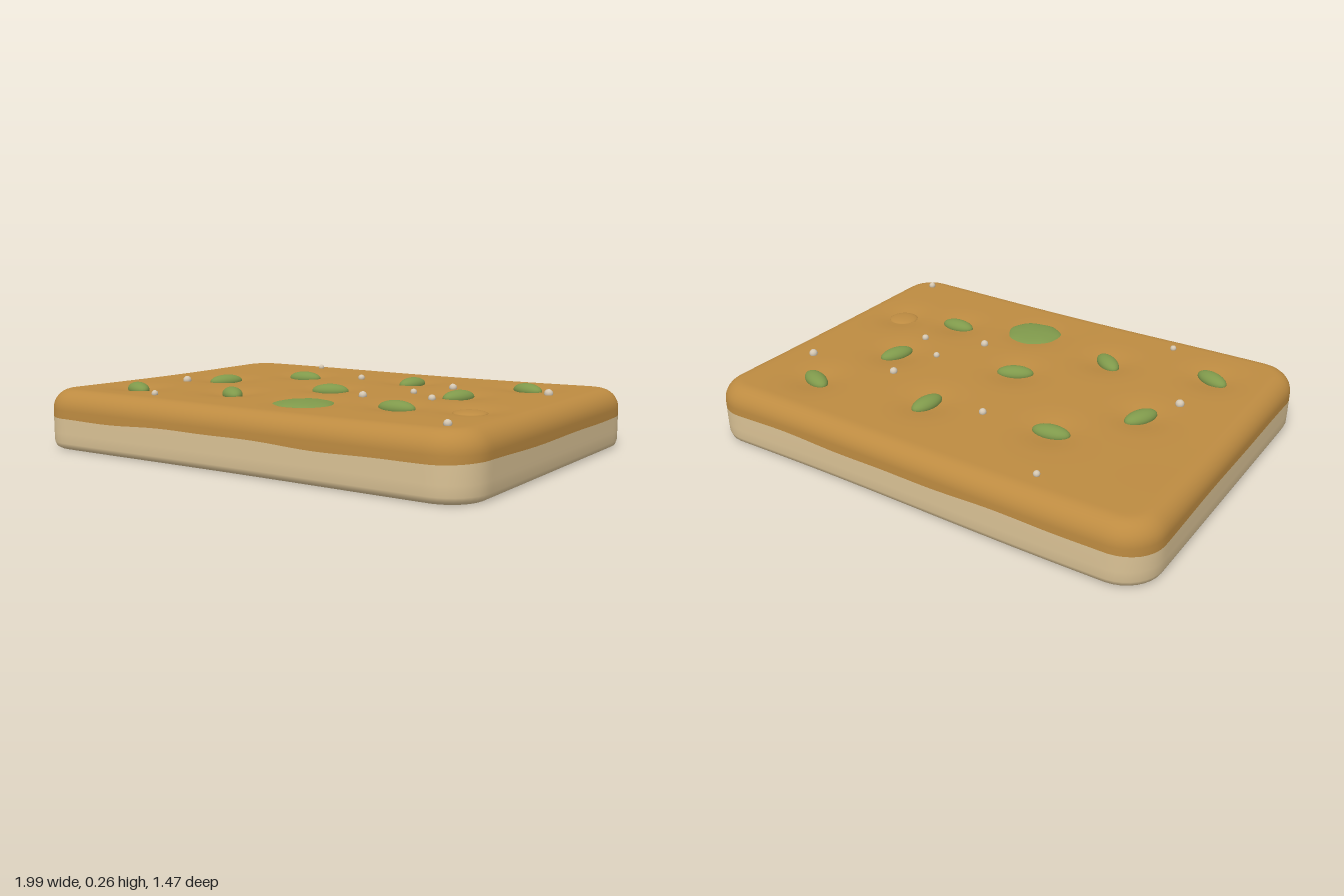
import * as THREE from 'three';

const crust = new THREE.MeshStandardMaterial({ color: 0xbd8b41, side: THREE.DoubleSide });
const dough = new THREE.MeshStandardMaterial({ color: 0xdac295, side: THREE.DoubleSide });
const olive = new THREE.MeshStandardMaterial({ color: 0x7f994b });
const salt = new THREE.MeshStandardMaterial({ color: 0xd6c9b4 });
crust.name = 'golden crust';
dough.name = 'pale dough';
olive.name = 'olive green';
salt.name = 'salt grey';

// x, z, turn in degrees
const OLIVES = [
  [-0.38, -0.3, 8], [0.15, -0.37, 82], [0.66, -0.45, -24], [-0.61, -0.01, 66], [0, 0.045, 25],
  [0.53, -0.08, 70], [-0.28, 0.34, -38], [-0.715, 0.435, -25], [0.48, 0.31, 0],
];
const GRAINS = [
  [-0.5, -0.6], [-0.09, -0.33], [0.42, -0.24], [0.82, -0.29], [0.36, -0.02],
  [0.51, 0.1], [0.25, 0.185], [-0.7, 0.15], [-0.465, 0.595], [0.855, 0.615],
];
const SLICE = [0.14, 0.42];
const BUBBLE = [0.75, 0.25];
const DIMPLES = [...OLIVES, SLICE, BUBBLE];

// Height change of the top: gentle waves and a dimple under each topping
function relief(x, z) {
  let h = 0.003 * Math.sin(3 * x + 1) * Math.cos(4 * z);
  for (const [dx, dz] of DIMPLES) {
    const d2 = (x - dx) ** 2 + (z - dz) ** 2;
    h -= 0.019 * Math.exp(-d2 / 0.011);
  }
  return h;
}
const TOP = 0.243;
const topAt = (x, z) => TOP + relief(x, z);

// Rounded rectangle outline, evenly sampled, slightly uneven front and back
const W = 0.995, D = 0.732, R = 0.15;
function outline(inset, count) {
  const w = W - inset, d = D - inset, r = Math.max(R - inset, 0.03);
  const shape = new THREE.Shape();
  shape.moveTo(w, d - r);
  shape.absarc(w - r, d - r, r, 0, Math.PI / 2);
  shape.absarc(r - w, d - r, r, Math.PI / 2, Math.PI);
  shape.absarc(r - w, r - d, r, Math.PI, Math.PI * 1.5);
  shape.absarc(w - r, r - d, r, Math.PI * 1.5, Math.PI * 2);
  shape.closePath();
  return shape.getSpacedPoints(count).slice(0, count).map((p) => {
    const wave = p.y < 0 ? 0.009 * Math.cos(3 * (p.x + 0.6)) : 0.006 * Math.cos(3.4 * p.x + 3.1);
    return [p.x, p.y * (1 + wave)];
  });
}

// Skin joining rings of [x, y, z] points, listed from the bottom inwards
function loft(rings) {
  const n = rings[0].length;
  const index = [];
  for (let j = 0; j < rings.length - 1; j++) {
    for (let i = 0; i < n; i++) {
      const k = (i + 1) % n;
      const a = j * n + i, b = j * n + k, c = a + n, e = b + n;
      index.push(a, c, b, b, c, e);
    }
  }
  const g = new THREE.BufferGeometry();
  g.setAttribute('position', new THREE.Float32BufferAttribute(rings.flat(2), 3));
  g.setIndex(index);
  g.computeVertexNormals();
  return g;
}

const COUNT = 240;
const seamY = (x, z) => 0.135 + 0.005 * Math.sin(5 * x + 3 * z) + 0.002 * Math.sin(13 * x - 9 * z);
const ring = (inset, height) => outline(inset, COUNT).map(([x, z]) => [x, height(x, z), z]);

function add(parent, name, geometry, material) {
  const mesh = new THREE.Mesh(geometry, material);
  mesh.name = name;
  parent.add(mesh);
  return mesh;
}

export function createModel() {
  const model = new THREE.Group();
  model.name = 'flatbread';

  // Pale side wall, open underneath
  add(model, 'doughSide', loft([
    ring(0.022, () => 0.004), ring(0.008, () => 0.012), ring(0.001, () => 0.03),
    ring(0, () => 0.07), ring(0, seamY),
  ]), dough);

  // Golden crust: upper wall, rounded shoulder, then shrinking loops across the top
  const rings = [ring(0, seamY), ring(0, () => 0.165)];
  const r = 0.078, steps = 8;
  for (let s = 1; s <= steps; s++) {
    const a = (s / steps) * Math.PI / 2;
    const y = 0.165 + r * Math.sin(a);
    rings.push(ring(r * (1 - Math.cos(a)), (x, z) => y + relief(x, z) * (s / steps)));
  }
  const rim = outline(r, COUNT);
  const loops = 56;
  for (let s = 1; s <= loops; s++) {
    const k = 1 - s / loops;
    rings.push(rim.map(([x, z]) => [x * k, topAt(x * k, z * k), z * k]));
  }
  add(model, 'crust', loft(rings), crust);

  // Olives resting in the dimples
  const olives = new THREE.Group();
  olives.name = 'olives';
  model.add(olives);
  const oliveShape = new THREE.SphereGeometry(1, 24, 16);
  for (const [x, z, turn] of OLIVES) {
    const m = add(olives, 'olive', oliveShape, olive);
    m.scale.set(0.077, 0.03, 0.039);
    m.rotation.y = THREE.MathUtils.degToRad(turn);
    m.position.set(x, topAt(x, z) + 0.009, z);
  }

  // Flat slice with an uneven rim
  const slice = new THREE.SphereGeometry(1, 40, 12);
  const p = slice.attributes.position;
  for (let i = 0; i < p.count; i++) {
    const a = Math.atan2(p.getZ(i), p.getX(i));
    const k = 1 + 0.03 * Math.sin(3 * a) + 0.02 * Math.cos(7 * a);
    p.setXYZ(i, p.getX(i) * k * 0.122, p.getY(i) * 0.02, p.getZ(i) * k * 0.118);
  }
  slice.computeVertexNormals();
  add(model, 'slice', slice, olive).position.set(SLICE[0], topAt(...SLICE) + 0.008, SLICE[1]);

  // Small baked bubble in its own dimple
  const bubble = add(model, 'bubble', new THREE.SphereGeometry(1, 28, 12), crust);
  bubble.scale.set(0.066, 0.014, 0.066);
  bubble.position.set(BUBBLE[0], topAt(...BUBBLE) + 0.004, BUBBLE[1]);

  // Scattered salt grains
  const grains = new THREE.Group();
  grains.name = 'saltGrains';
  model.add(grains);
  const grainShape = new THREE.IcosahedronGeometry(0.016, 1);
  GRAINS.forEach(([x, z], i) => {
    const m = add(grains, 'saltGrain', grainShape, salt);
    m.scale.setScalar(0.85 + 0.1 * (i % 4));
    m.rotation.set(i, i * 2, 0);
    m.position.set(x, topAt(x, z) + 0.006, z);
  });

  return model;
}
